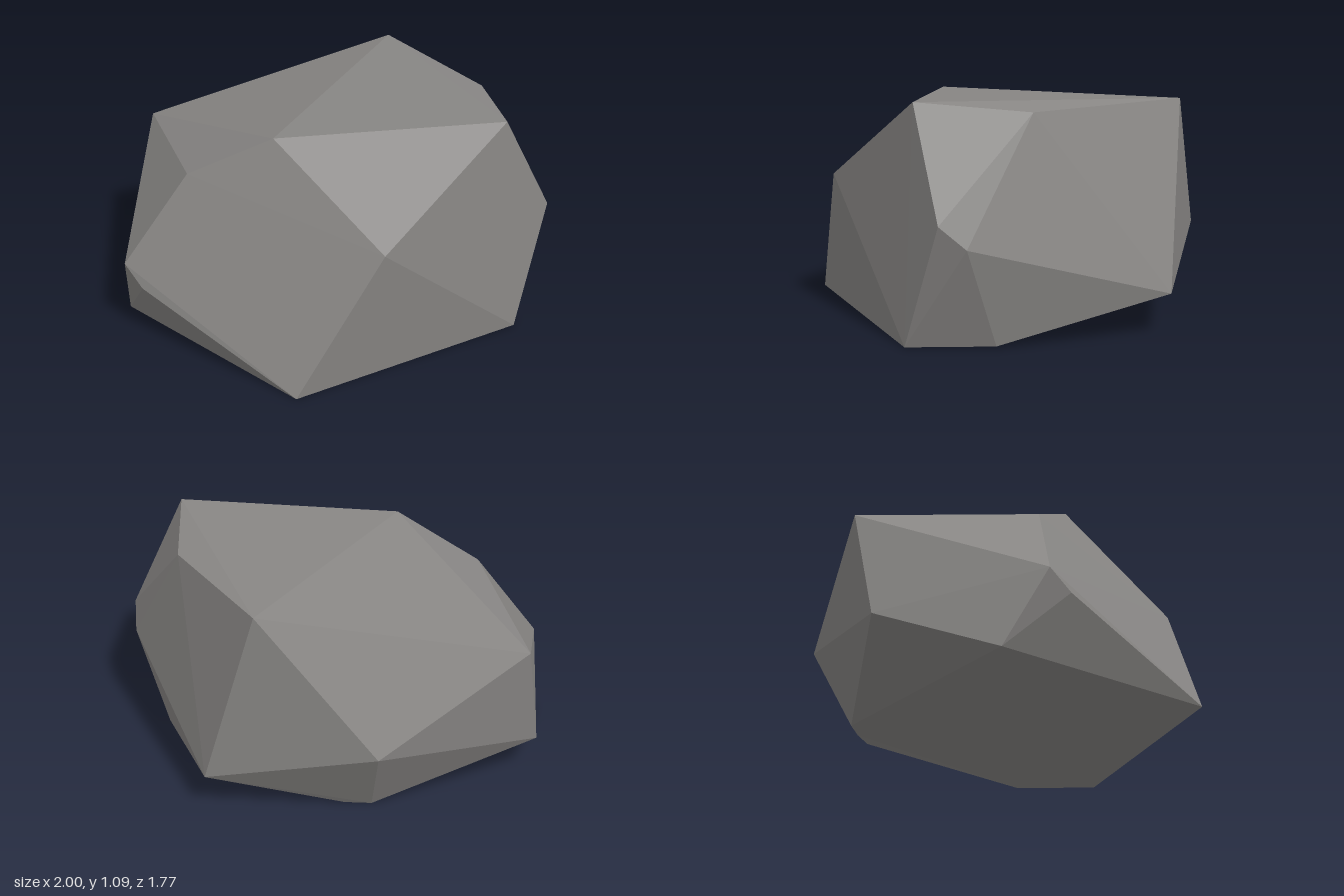
import * as THREE from 'three';
import { ConvexGeometry } from 'three/addons/geometries/ConvexGeometry.js';

export function createModel() {
  const group = new THREE.Group();
  group.name = 'rock';

  const stone = new THREE.MeshStandardMaterial({ color: 0x888684 });
  stone.name = 'grey stone';
  stone.flatShading = true;

  // Corners of the faceted boulder, by height
  const base = [
    [-0.47, 0, 0.875], [0.76, 0, 0.71], [0.89, 0.01, 0.32],
    [0.27, 0, -0.64], [0.15, 0, -0.69], [-0.93, 0, -0.2],
  ];
  const belly = [
    [-1, 0.37, 0], [-0.95, 0.28, 0.11], [-0.04, 0.66, 0.885],
    [0.97, 0.585, 0.6], [1, 0.48, 0.48], [0.91, 0.2, -0.5],
    [0.19, 0.375, -0.885], [-0.68, 0.215, -0.73],
  ];
  const crown = [
    [-0.68, 0.81, 0.04], [-0.33, 1.03, 0.27], [0.69, 1.09, 0.645],
    [0.835, 1.045, 0.135], [0.68, 1.065, -0.615], [-0.58, 0.75, -0.81],
  ];

  // The boulder is the convex shell around all corners
  const corners = [...base, ...belly, ...crown].map((p) => new THREE.Vector3(...p));
  const boulder = new THREE.Mesh(new ConvexGeometry(corners), stone);
  boulder.name = 'boulder';
  group.add(boulder);
  return group;
}
